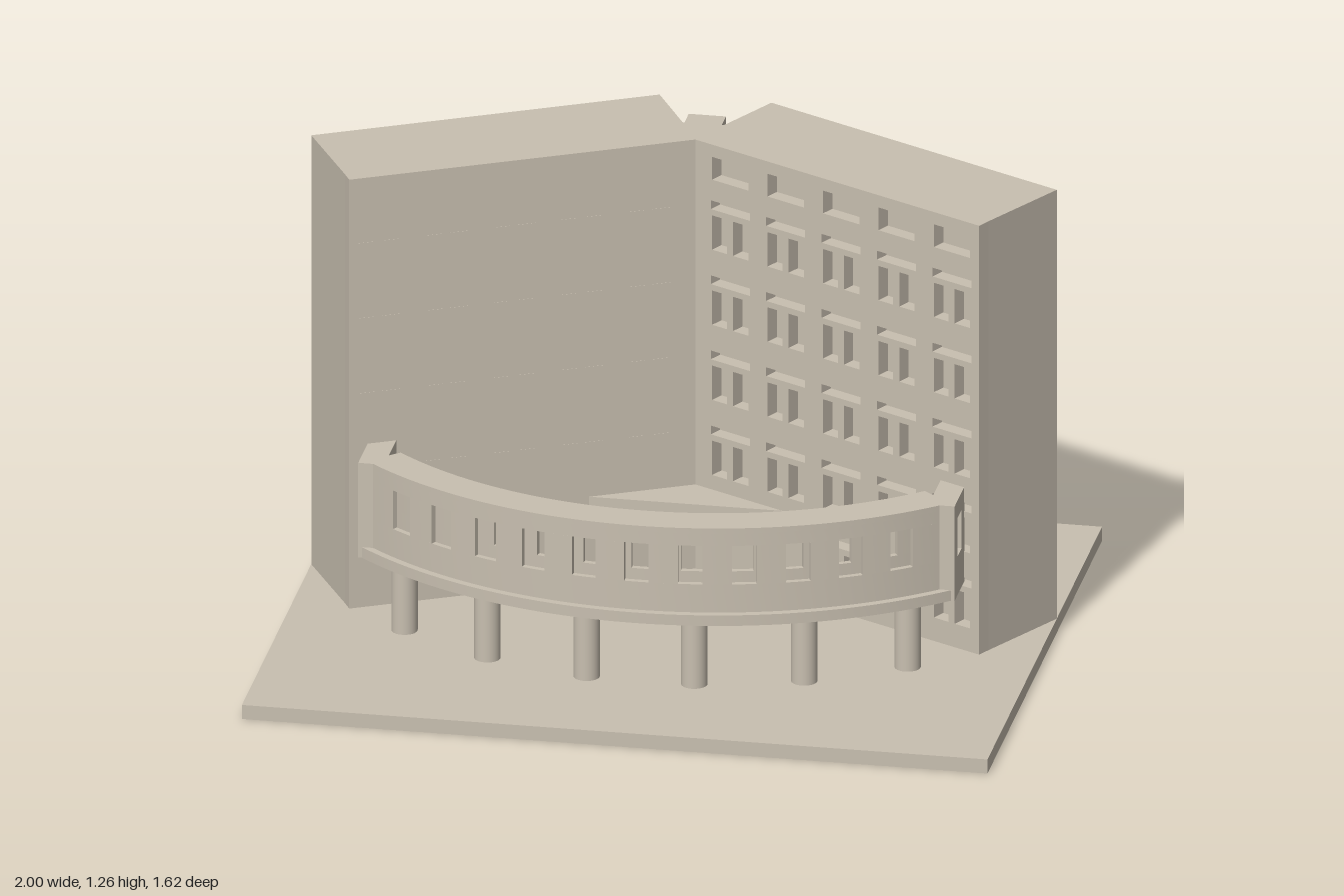
import * as THREE from 'three';
import { toCreasedNormals } from 'three/addons/utils/BufferGeometryUtils.js';

const stone = new THREE.MeshStandardMaterial({ color: 0xc8bfb0 });
stone.name = 'warm stone';

const GROUND = 0.04, TOP = 1.265;
const RAD = Math.PI / 180;
const ARC_Z = -0.651; // centre of the curved gallery

function add(group, name, geometry) {
  const mesh = new THREE.Mesh(geometry, stone);
  mesh.name = name;
  group.add(mesh);
  return mesh;
}

// vertical prism over a plan outline of [x, z] points
function prism(points, y0, y1) {
  const shape = new THREE.Shape(points.map(([x, z]) => new THREE.Vector2(x, -z)));
  const geo = new THREE.ExtrudeGeometry(shape, { depth: y1 - y0, bevelEnabled: false });
  geo.rotateX(-Math.PI / 2).translate(0, y0, 0);
  return toCreasedNormals(geo, 0.4);
}

const mirrored = (pts) => [...pts, ...pts.filter(([x]) => x !== 0).reverse().map(([x, z]) => [-x, z])];

function box(x0, x1, y0, y1, z0, z1) {
  return new THREE.BoxGeometry(x1 - x0, y1 - y0, z1 - z0)
    .translate((x0 + x1) / 2, (y0 + y1) / 2, (z0 + z1) / 2);
}

// plan points along the gallery arc, angles in degrees from +z
function arc(r, a0, a1) {
  const n = Math.max(2, Math.ceil(Math.abs(a1 - a0) / 1.8));
  return Array.from({ length: n + 1 }, (_, i) => {
    const a = (a0 + (a1 - a0) * i / n) * RAD;
    return [r * Math.sin(a), ARC_Z + r * Math.cos(a)];
  });
}
const sector = (r0, r1, a0, a1, y0, y1) => prism([...arc(r1, a0, a1), ...arc(r0, a1, a0)], y0, y1);

// V-shaped tower: solid core plus pierced facade panels
function tower() {
  const g = new THREE.Group();
  g.name = 'tower';
  const theta = Math.atan2(0.44, 0.845), c = Math.cos(theta), depth = 0.04;
  const ox = Math.sin(theta) * depth, oz = -c * depth;
  const plan = mirrored([
    [0, -0.33], [ox, -0.33 + oz], [0.845 + ox, 0.11 + oz], [1, -0.17],
    [0.15, -0.615], [0.055, -0.44], [0.05, -0.44], [0.05, -0.5],
  ]);
  add(g, 'towerCore', prism(plan, GROUND, TOP));

  // openings as [x0, x1, y0, y1], measured from the inner corner
  const openings = [[0.06, 0.18, 0.05, 0.215], [0.235, 0.345, 0.05, 0.213]];
  for (let col = 0; col < 5; col++) {
    const x = 0.05 + 0.165 * col;
    openings.push([x, x + 0.108, 1.165, 1.23]);
    for (let floor = 0; floor < 5; floor++) {
      if (floor === 0 && col < 2) continue;
      const y = 0.107 + 0.2145 * floor;
      openings.push([x, x + 0.044, y, y + 0.098]);
      openings.push([x + 0.062, x + 0.108, y, y + 0.098]);
      openings.push([x - 0.004, x + 0.112, y + 0.115, y + 0.14]);
    }
  }
  const rect = (P, s, x0, x1, y0, y1) => {
    const a = s * x0 / c, b = s * x1 / c;
    return new P([[a, y0], [b, y0], [b, y1], [a, y1]].map(([x, y]) => new THREE.Vector2(x, y)));
  };
  for (const s of [1, -1]) {
    const wall = rect(THREE.Shape, s, 0, 0.845, GROUND, TOP);
    wall.holes = openings.map((o) => rect(THREE.Path, s, ...o));
    const geo = new THREE.ExtrudeGeometry(wall, { depth, bevelEnabled: false });
    const panel = add(g, s > 0 ? 'leftFacade' : 'rightFacade', geo);
    panel.rotation.y = -s * theta;
    panel.position.set(s * ox, 0, -0.33 + oz);
  }
  add(g, 'entranceCanopy', prism([[0, -0.33], [0.28, -0.195], [-0.28, -0.195]], 0.25, 0.28));
  return g;
}

// hollow curved gallery raised on columns
function gallery() {
  const g = new THREE.Group();
  g.name = 'gallery';
  const Y0 = 0.235, Y1 = 0.265, SILL = 0.345, HEAD = 0.455, Y2 = 0.505;
  const outline = (rIn, rOut, aOut) => [
    [-0.73, 0.045], [-0.8, 0.08], [-0.8, 0.22],
    ...arc(rOut, -aOut, aOut),
    [0.8, 0.22], [0.8, 0.08], [0.73, 0.045], [0.73, 0.155],
    ...arc(rIn, 42, -42), [-0.73, 0.155],
  ];
  add(g, 'galleryFloor', prism(outline(1.031, 1.176, 42.2), Y0, Y1));
  add(g, 'galleryRoof', prism(outline(1.051, 1.156, 41.1), Y2 - 0.015, Y2));

  // curved walls: sill band, head band and piers between eleven windows
  const step = 7.1, half = 1.62;
  for (const [name, r0, r1, end] of [['outer', 1.141, 1.156, 41.1], ['inner', 1.051, 1.066, 42]]) {
    add(g, name + 'Sill', sector(r0, r1, -end, end, Y1, SILL));
    add(g, name + 'Head', sector(r0, r1, -end, end, HEAD, Y2 - 0.015));
    for (let i = -6; i <= 5; i++) {
      const a0 = i === -6 ? -end : i * step + half;
      const a1 = i === 5 ? end : (i + 1) * step - half;
      add(g, name + 'Pier', sector(r0, r1, a0, a1, SILL, HEAD));
    }
  }

  // end links to the tower, each wall with one window
  for (const s of [1, -1]) {
    const put = (name, x0, x1, y0, y1, z0, z1) =>
      add(g, name, s > 0 ? box(x0, x1, y0, y1, z0, z1) : box(-x1, -x0, y0, y1, z0, z1));
    const walls = [[0.785, 0.8, 0.08, 0.12, 0.18, 0.22], [0.73, 0.745, 0.045, 0.08, 0.135, 0.155]];
    for (const [x0, x1, z0, w0, w1, z1] of walls) {
      put('linkSill', x0, x1, Y1, SILL, z0, z1);
      put('linkHead', x0, x1, HEAD, Y2 - 0.015, z0, z1);
      put('linkPier', x0, x1, SILL, HEAD, z0, w0);
      put('linkPier', x0, x1, SILL, HEAD, w1, z1);
    }
    put('linkFront', 0.75, 0.785, Y1, Y2 - 0.015, 0.205, 0.22);
    const corner = [[0.703, 0.13], [0.73, 0.155], [0.74, 0.145], [0.713, 0.12]];
    add(g, 'linkCorner', prism(corner.map(([x, z]) => [s * x, z]), Y1, Y2 - 0.015));
  }

  // columns
  for (const a of [-37.6, -22.6, -7.5, 7.5, 22.6, 37.6]) {
    const column = add(g, 'column', new THREE.CylinderGeometry(0.035, 0.035, Y0 - GROUND, 24));
    column.position.set(1.106 * Math.sin(a * RAD), (Y0 + GROUND) / 2, ARC_Z + 1.106 * Math.cos(a * RAD));
  }
  return g;
}

export function createModel() {
  const model = new THREE.Group();
  model.name = 'building';
  add(model, 'basePlate', box(-1, 1, 0, GROUND, -0.81, 0.81));
  model.add(tower(), gallery());
  return model;
}
